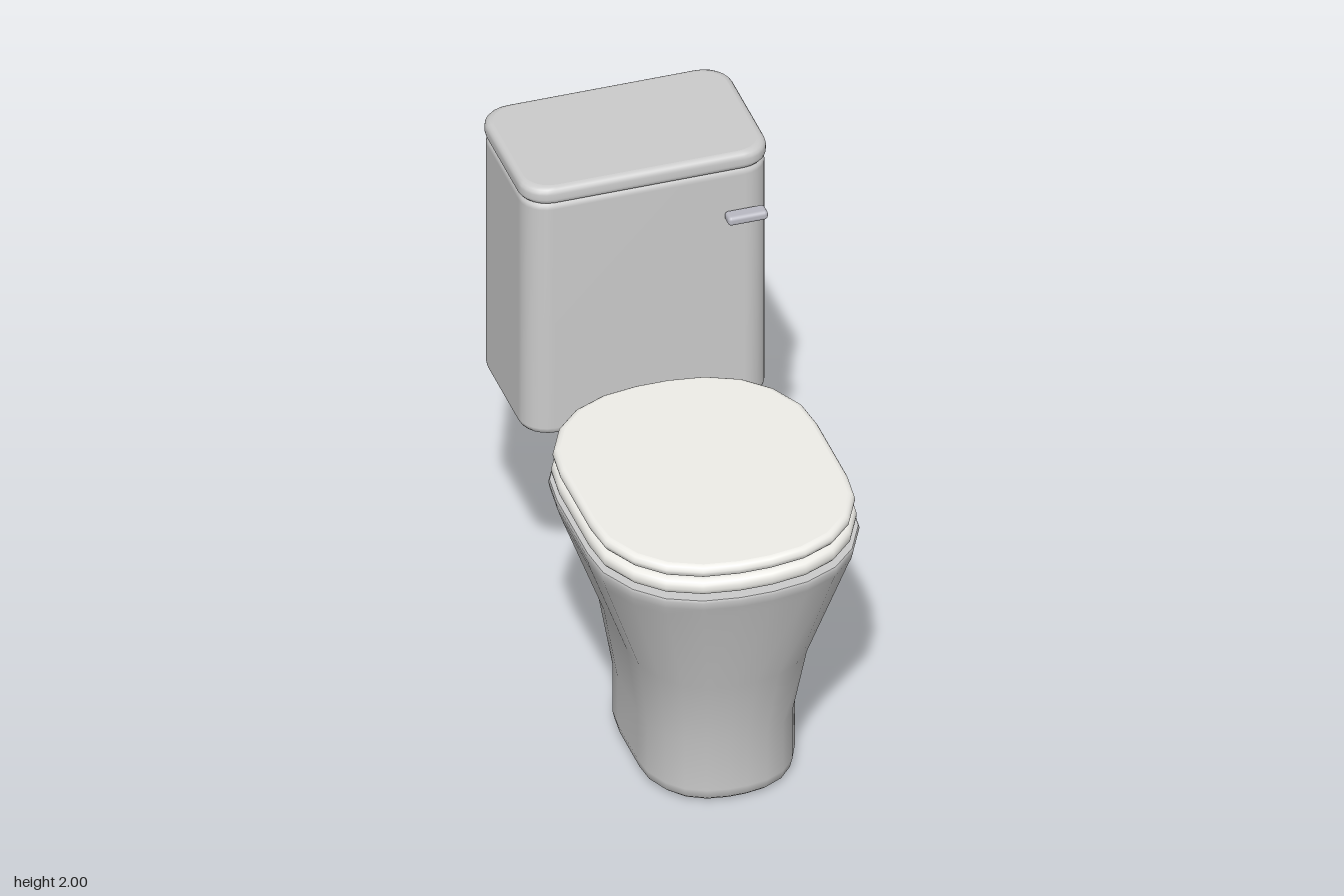
import * as THREE from 'three';
import { RoundedBoxGeometry } from 'three/addons/geometries/RoundedBoxGeometry.js';

// Mirror a quarter outline (from +z round to +x) into a closed unit loop
function closeOutline(quarter) {
  const rev = [...quarter].reverse();
  return [
    ...quarter,
    ...rev.map(([x, z]) => [x, -z]),
    ...quarter.map(([x, z]) => [-x, -z]),
    ...rev.map(([x, z]) => [-x, z]),
  ];
}

// Oval outline for bowl, seat and lid
const oval = closeOutline(
  [[0.06, 0.595], [0.19, 0.575], [0.31, 0.52], [0.4, 0.43], [0.465, 0.3], [0.48, 0.17]]
    .map(([x, z]) => [x / 0.48, z / 0.595]));

// Rounded rectangle outline for the tank, normalised to half sizes of 1
function roundedRect(hw, hd, r, steps = 6) {
  const quarter = [];
  for (let i = 0; i <= steps; i++) {
    const a = (i / steps) * Math.PI / 2;
    quarter.push([(hw - r + r * Math.sin(a)) / hw, (hd - r + r * Math.cos(a)) / hd]);
  }
  return closeOutline(quarter);
}

// Skin an outline through rings of [y, halfWidth, zBack, zFront], with flat caps
function loft(outline, rings) {
  const n = outline.length, pos = [], index = [];
  const addRing = ([y, hw, z0, z1]) => {
    for (const [x, z] of outline) pos.push(x * hw, y, (z0 + z1) / 2 + z * (z1 - z0) / 2);
  };
  rings.forEach(addRing);
  for (let i = 0; i < rings.length - 1; i++) {
    for (let j = 0; j < n; j++) {
      const a = i * n + j, b = i * n + (j + 1) % n;
      index.push(a, b, b + n, a, b + n, a + n);
    }
  }
  for (const top of [false, true]) {
    const ring = top ? rings[rings.length - 1] : rings[0];
    const start = pos.length / 3;
    addRing(ring);
    pos.push(0, ring[0], (ring[2] + ring[3]) / 2);
    for (let j = 0; j < n; j++) {
      const a = start + j, b = start + (j + 1) % n;
      index.push(start + n, ...(top ? [a, b] : [b, a]));
    }
  }
  const geo = new THREE.BufferGeometry();
  geo.setAttribute('position', new THREE.Float32BufferAttribute(pos, 3));
  geo.setIndex(index);
  geo.computeVertexNormals();
  return geo;
}

// Slab with rounded edges: profile of [inset, height fraction]
function slabRings(y0, y1, hw, z0, z1, r) {
  const rings = [];
  const h = Math.min(r, (y1 - y0) / 2);
  for (const side of [0, 1]) {
    for (let i = 0; i <= 4; i++) {
      const a = (side ? i : 4 - i) / 4 * Math.PI / 2;
      const inset = r * (1 - Math.cos(a)), dy = h * (1 - Math.sin(a));
      rings.push([side ? y1 - dy : y0 + dy, hw - inset, z0 + inset, z1 - inset]);
    }
  }
  // drop the doubled middle ring when the rounds meet
  return rings.filter((k, i) => i === 0 || k[0] - rings[i - 1][0] > 1e-5);
}

export function createModel() {
  const group = new THREE.Group();
  const ceramic = new THREE.MeshStandardMaterial({ color: 0xcccccc });
  const seatMat = new THREE.MeshStandardMaterial({ color: 0xeeede8 });
  const metal = new THREE.MeshStandardMaterial({ color: 0xb9b9c2 });
  const add = (name, geo, mat) => {
    const mesh = new THREE.Mesh(geo, mat);
    mesh.name = name;
    group.add(mesh);
    return mesh;
  };

  // Pedestal flaring up into the bowl
  add('bowl', loft(oval, [
    [0, 0.255, -0.085, 0.635],
    [0.015, 0.27, -0.1, 0.652],
    [0.05, 0.278, -0.11, 0.66],
    [0.25, 0.278, -0.11, 0.66],
    [0.53, 0.322, -0.175, 0.73],
    [0.92, 0.465, -0.295, 0.85],
    [0.96, 0.478, -0.312, 0.868],
    [0.99, 0.484, -0.319, 0.874],
    [1.0, 0.48, -0.315, 0.87],
  ]), ceramic);

  // Seat and lid
  add('seat', loft(oval, slabRings(1.012, 1.072, 0.475, -0.306, 0.862, 0.025)), seatMat);
  add('seatLid', loft(oval, slabRings(1.082, 1.13, 0.47, -0.303, 0.857, 0.022)), seatMat);

  // Tank and its cover
  const rect = roundedRect(0.445, 0.275, 0.1);
  add('tank', loft(rect, slabRings(0.955, 1.945, 0.446, -0.87, -0.325, 0.035)), ceramic);
  add('tankCover', loft(rect, slabRings(1.93, 2.0, 0.45, -0.875, -0.32, 0.025)), ceramic);

  // Flush handle
  const handle = add('flushHandle', new RoundedBoxGeometry(0.146, 0.036, 0.056, 3, 0.014), metal);
  handle.position.set(0.344, 1.755, -0.299);

  return group;
}
